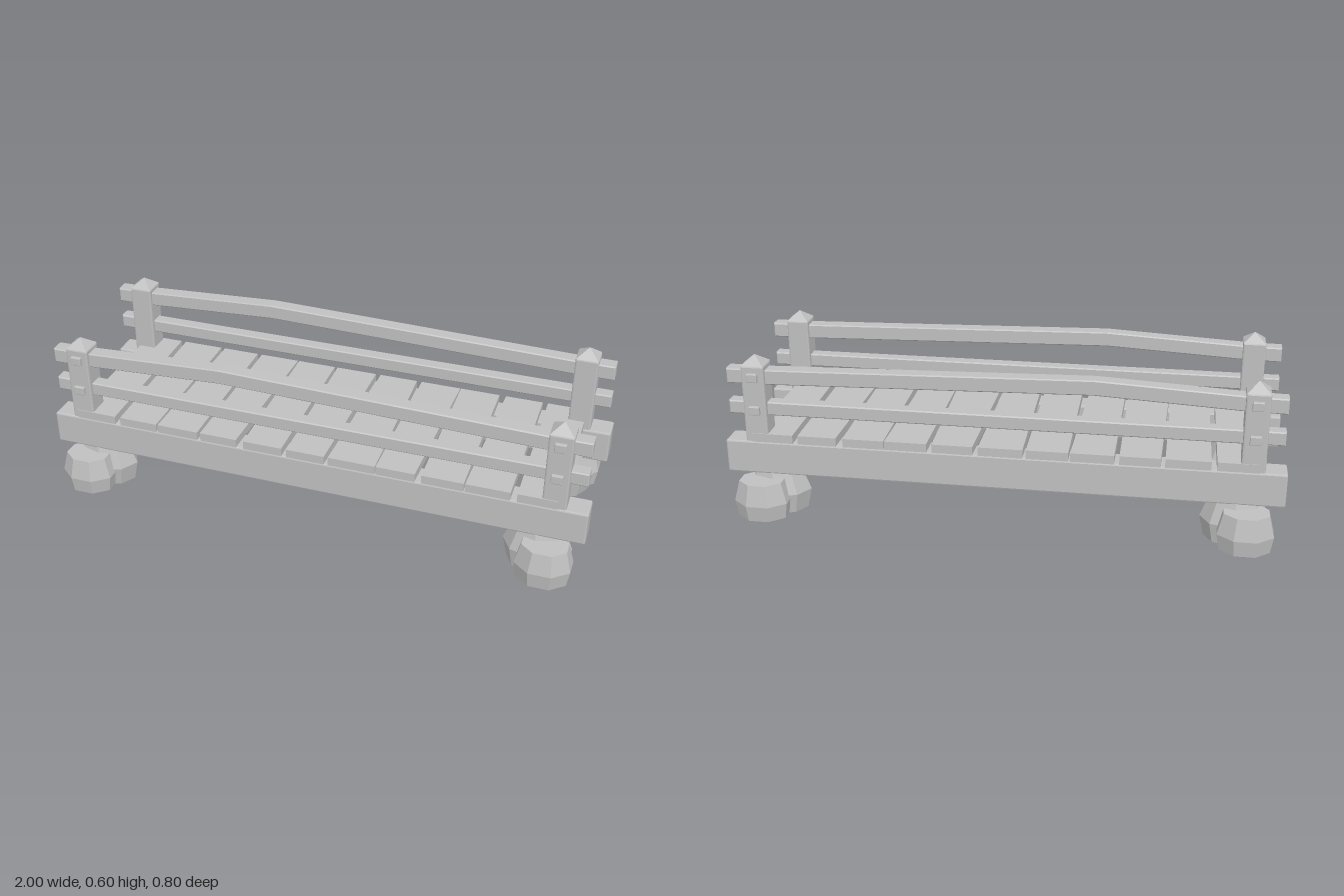
import * as THREE from 'three';
import { RoundedBoxGeometry } from 'three/addons/geometries/RoundedBoxGeometry.js';

export function createModel() {
  const bridge = new THREE.Group();
  bridge.name = 'footbridge';
  const grey = new THREE.MeshStandardMaterial({ color: 0xc0c0c0, flatShading: true });
  grey.name = 'plain grey';

  const add = (name, geometry, x, y, z) => {
    const mesh = new THREE.Mesh(geometry, grey);
    mesh.name = name;
    mesh.position.set(x, y, z);
    bridge.add(mesh);
    return mesh;
  };
  const block = (w, h, d, bevel = 0.006) => new RoundedBoxGeometry(w, h, d, 1, bevel);

  // Rail: a constant-height strip following a centre line, with small bevels
  const rail = (line, height, depth) => {
    const b = 0.004, h = height / 2 - b;
    const outline = [
      ...line.map(([x, y]) => new THREE.Vector2(x, y - h)),
      ...[...line].reverse().map(([x, y]) => new THREE.Vector2(x, y + h)),
    ];
    const geometry = new THREE.ExtrudeGeometry(new THREE.Shape(outline), {
      depth: depth - 2 * b, bevelEnabled: true, bevelThickness: b, bevelSize: b, bevelSegments: 1,
    });
    return geometry.translate(0, 0, b - depth / 2);
  };

  // Faceted boulder with a flat base and top
  const boulder = (rx, rz, height, belly, base, top, turn) => {
    const profile = [[0, 0], [base, 0], [1, belly], [top, height], [0, height]];
    const geometry = new THREE.LatheGeometry(profile.map(([r, y]) => new THREE.Vector2(r, y)), 8);
    return geometry.rotateY(turn).scale(rx, 1, rz);
  };

  for (const side of [1, -1]) {
    const z = 0.26 * side;
    add('sideBeam', block(2, 0.125, 0.094), 0, 0.218, z);
    add('lowerRail', rail([[-0.98, 0], [0.98, 0]], 0.05, 0.05), 0, 0.402, z);
    add('upperRail', rail([[-0.98, 0.521], [-0.86, 0.523], [-0.33, 0.55], [0.3, 0.535], [0.85, 0.522], [0.98, 0.522]],
      0.055, 0.055), 0, 0, z);

    for (const end of [1, -1]) {
      const x = 0.882 * end;
      // Post with a pyramid cap
      add('post', block(0.084, 0.297, 0.084), x, 0.4185, z);
      const cap = new THREE.ConeGeometry(0.082 / Math.SQRT2, 0.034, 4).rotateY(Math.PI / 4);
      add('postCap', cap, x, 0.583, z);
      // Pegs through the outer face of the post
      for (const y of [0.525, 0.401]) add('peg', block(0.04, 0.032, 0.03, 0.003), x, y, 0.3 * side);
      // Pair of foundation boulders
      add('mainBoulder', boulder(0.122, 0.09, 0.17, 0.075, 0.86, 0.7, 0), 0.833 * end, 0, 0.241 * side);
      add('smallBoulder', boulder(0.106, 0.088, 0.138, 0.06, 0.9, 0.8, Math.PI / 8), 0.87 * end, 0, 0.317 * side);
    }
  }

  // Deck planks, each slightly tapered: [left, right] edges and how far the edges lean
  const planks = [
    [-0.905, -0.755, 0, 0.005], [-0.735, -0.583, 0.006, 0], [-0.572, -0.422, -0.004, 0.003],
    [-0.407, -0.26, 0, -0.007], [-0.243, -0.095, 0.004, 0.002], [-0.08, 0.07, 0.006, -0.003],
    [0.087, 0.247, -0.005, 0.008], [0.258, 0.405, 0, -0.006], [0.418, 0.568, 0.004, 0.004],
    [0.583, 0.732, -0.006, 0.002], [0.753, 0.897, 0.004, -0.003],
  ];
  for (const [left, right, leanLeft, leanRight] of planks) {
    const geometry = new THREE.BoxGeometry(1, 0.032, 0.61);
    const p = geometry.attributes.position;
    for (let i = 0; i < p.count; i++) {
      const lean = Math.sign(p.getZ(i));
      p.setX(i, p.getX(i) < 0 ? left + leanLeft * lean : right + leanRight * lean);
    }
    geometry.computeVertexNormals();
    add('plank', geometry, 0, 0.295, 0);
  }
  return bridge;
}
